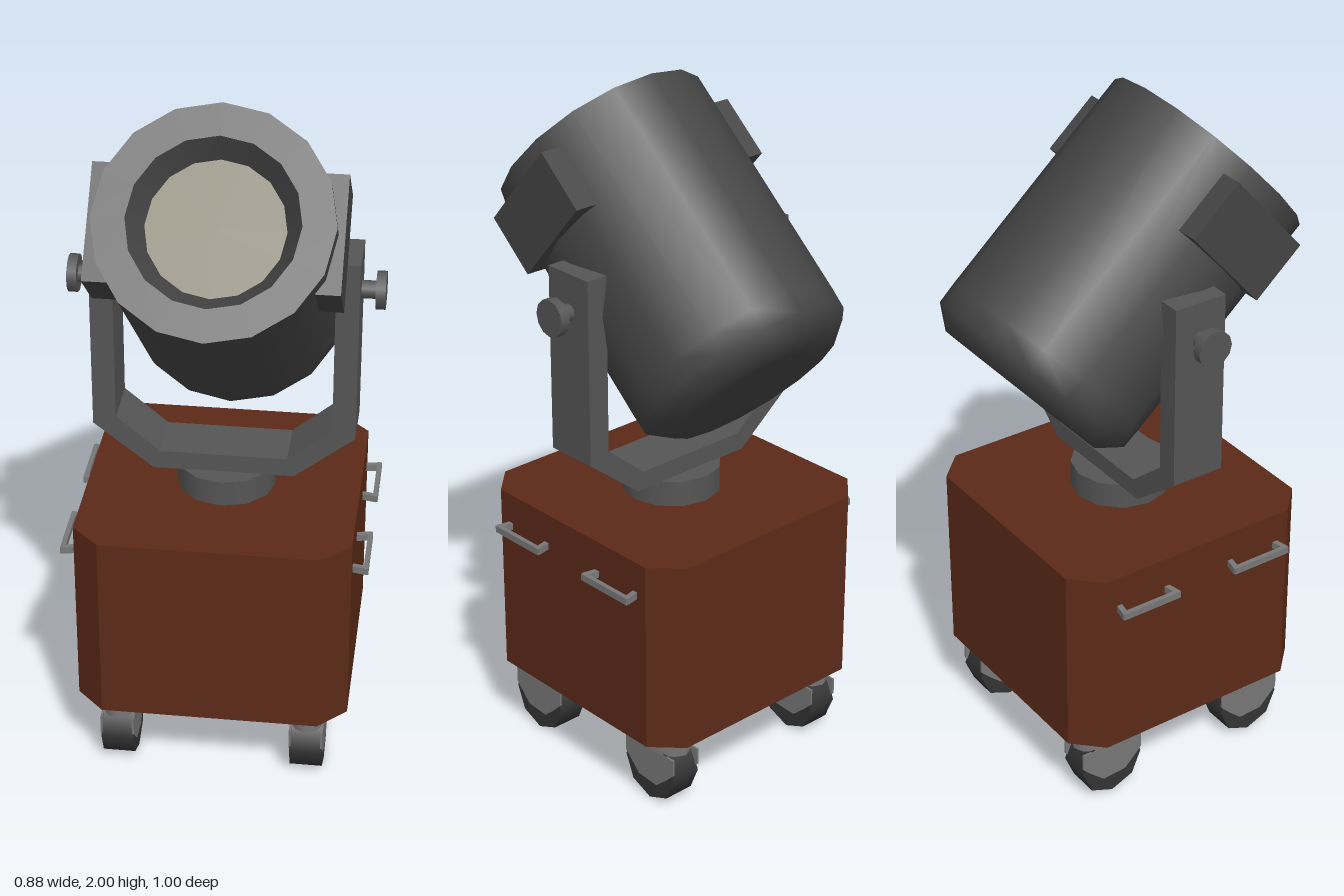
import * as THREE from 'three';

const mat = (color, flatShading = false) => new THREE.MeshStandardMaterial({ color, flatShading });
const brown = mat(0x5c2a18);
const black = mat(0x444444);
const metal = mat(0x555555);
const steel = mat(0x777777);
const tyre = mat(0x333333);
const glass = mat(0x7d7763);

function add(parent, name, geometry, material, x = 0, y = 0, z = 0) {
  const mesh = new THREE.Mesh(geometry, material);
  mesh.name = name;
  mesh.position.set(x, y, z);
  parent.add(mesh);
  return mesh;
}

const box = (w, h, d) => new THREE.BoxGeometry(w, h, d);
const shapeOf = (pts) => new THREE.Shape(pts.map(([x, y]) => new THREE.Vector2(x, y)));
const lathe = (pts) => new THREE.LatheGeometry(pts.map(([r, y]) => new THREE.Vector2(r, y)), 16);
const extrude = (pts, depth) =>
  new THREE.ExtrudeGeometry(shapeOf(pts), { depth, bevelEnabled: false }).translate(0, 0, -depth / 2);

// Tilted lamp barrel; local +y points out of the lens
function makeBarrel() {
  const g = new THREE.Group();
  g.name = 'lampBarrel';
  add(g, 'barrelShell', lathe([[0, -0.824], [0.16, -0.824], [0.257, -0.824], [0.318, -0.772], [0.32, -0.71], [0.32, 0]]), black);
  add(g, 'frontRim', lathe([[0.32, 0], [0.23, 0]]), metal);
  add(g, 'lensBore', lathe([[0.23, 0], [0.187, -0.07]]), black);
  add(g, 'lens', lathe([[0.187, -0.07], [0, -0.07]]), glass);
  for (const s of [-1, 1]) add(g, 'sideHousing', box(0.067, 0.188, 0.323), black, s * 0.304, -0.153, 0);
  g.position.set(0, 1.76, 0.29);
  g.rotation.x = 0.852;
  return g;
}

// U-shaped bracket with a clamp knob on each arm
function makeYoke() {
  const g = new THREE.Group();
  g.name = 'yoke';
  const half = [[0.2, 0.875], [0.37, 1.01], [0.37, 1.55], [0.305, 1.55], [0.305, 1.035], [0.18, 0.93]];
  const mirrored = half.map(([x, y]) => [-x, y]).reverse();
  add(g, 'yokeBracket', extrude([...half, ...mirrored], 0.16), metal);
  for (const s of [-1, 1]) {
    const shaft = add(g, 'knobShaft', new THREE.CylinderGeometry(0.025, 0.025, 0.07, 12), metal, s * 0.385, 1.44, 0);
    const knob = add(g, 'knob', new THREE.CylinderGeometry(0.053, 0.053, 0.027, 12), metal, s * 0.4235, 1.44, 0);
    shaft.rotation.z = knob.rotation.z = Math.PI / 2;
  }
  return g;
}

// Grab handle: a bar on two slanted posts, projecting along +x
function makeHandle() {
  const g = new THREE.Group();
  g.name = 'handle';
  add(g, 'handleBar', box(0.014, 0.02, 0.188), steel, 0.428, 0, 0);
  for (const s of [-1, 1]) {
    const post = add(g, 'handlePost', box(0.05, 0.02, 0.016), steel, 0.408, 0, s * 0.083);
    post.rotation.y = -s * 0.2;
  }
  return g;
}

// Caster: oval cap, two cheek plates and an eight-sided wheel
function makeCaster() {
  const g = new THREE.Group();
  g.name = 'caster';
  const cap = add(g, 'casterCap', new THREE.CylinderGeometry(0.06, 0.06, 0.06, 12), steel, 0, 0.2, 0);
  cap.scale.z = 1.68;
  const cheek = [[-0.1, 0.17], [-0.1, 0.115], [-0.045, 0.06], [0.03, 0.055], [0.07, 0.09], [0.1, 0.12], [0.1, 0.17]];
  for (const s of [-1, 1]) {
    const plate = add(g, 'casterCheek', extrude(cheek, 0.006), steel, s * 0.046, 0, 0);
    plate.rotation.y = Math.PI / 2;
  }
  const wheel = add(g, 'wheel', new THREE.CylinderGeometry(0.1, 0.1, 0.094, 8), tyre, 0, 0.1, 0);
  wheel.rotation.z = Math.PI / 2;
  return g;
}

// Chamfered cabinet carrying handles and casters
function makeCart() {
  const g = new THREE.Group();
  g.name = 'cart';
  const a = 0.39, b = 0.31;
  const plan = [[a, -b], [a, b], [b, a], [-b, a], [-a, b], [-a, -b], [-b, -a], [b, -a]];
  const cabinet = add(g, 'cabinet', extrude(plan, 0.57), brown, 0, 0.515, 0);
  cabinet.rotation.x = -Math.PI / 2;
  for (const sx of [-1, 1]) {
    for (const sz of [-1, 1]) {
      const handle = makeHandle();
      handle.position.set(0, 0.7, sz * 0.188);
      if (sx < 0) handle.rotation.y = Math.PI;
      g.add(handle);
      const caster = makeCaster();
      caster.position.set(sx * 0.275, 0, sz * 0.247);
      g.add(caster);
    }
  }
  g.position.set(-0.005, 0, -0.008);
  return g;
}

export function createModel() {
  const model = new THREE.Group();
  model.name = 'searchlight';
  model.add(makeCart(), makeYoke(), makeBarrel());
  // Turntable between cabinet and yoke
  add(model, 'turntable', new THREE.CylinderGeometry(0.142, 0.142, 0.08, 12), metal, 0, 0.836, 0);
  return model;
}
